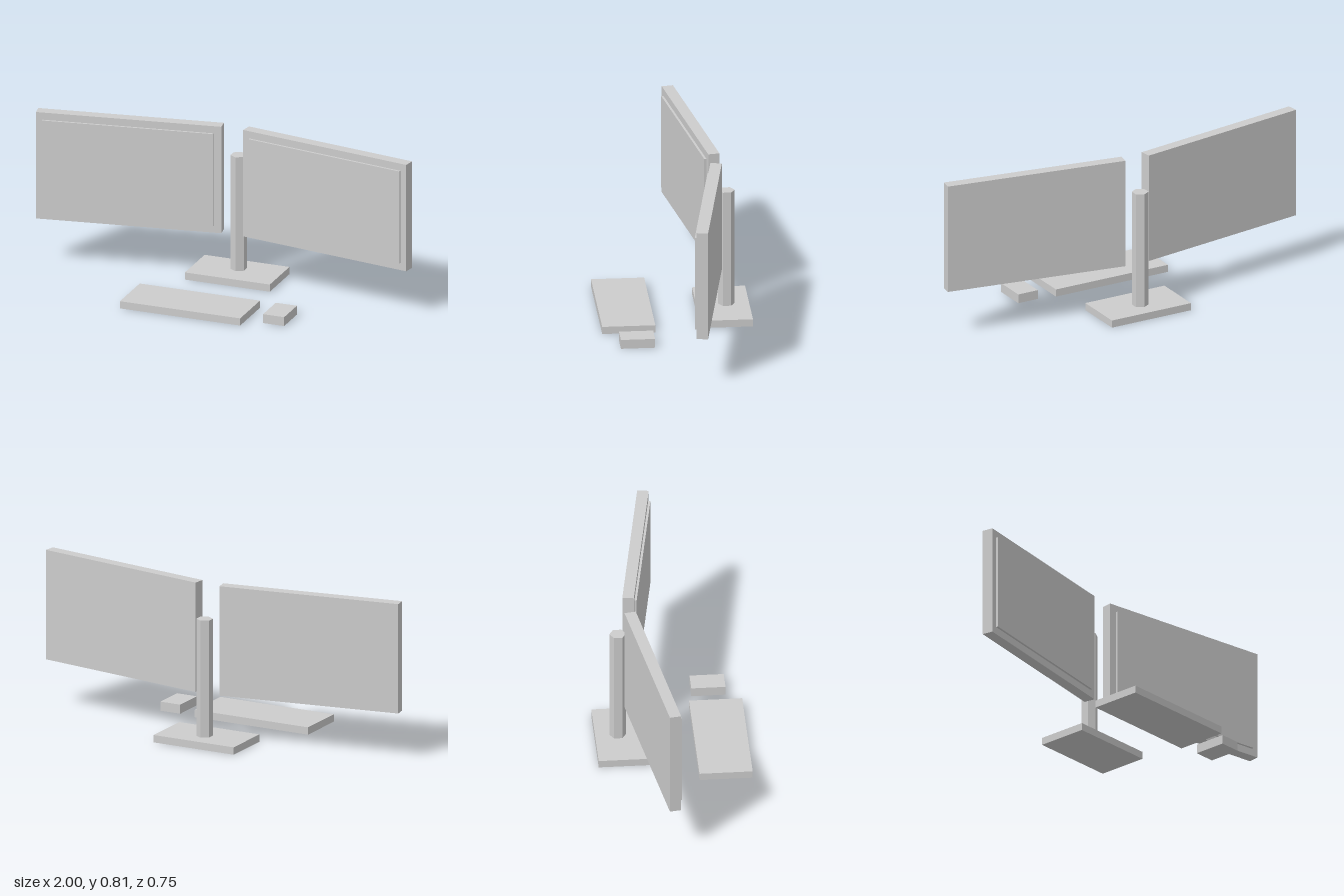
import * as THREE from 'three';

export function createModel() {
  const model = new THREE.Group();
  model.name = 'dualMonitorDesk';

  const grey = new THREE.MeshStandardMaterial({ color: 0xcccccc, flatShading: true });
  grey.name = 'lightGrey';

  function add(name, geometry, x, y, z, parent = model) {
    const mesh = new THREE.Mesh(geometry, grey);
    mesh.name = name;
    mesh.position.set(x, y, z);
    parent.add(mesh);
    return mesh;
  }
  const box = (w, h, d) => new THREE.BoxGeometry(w, h, d);

  // Two monitors, turned inward towards the user
  for (const [name, side] of [['leftMonitor', 1], ['rightMonitor', -1]]) {
    const monitor = new THREE.Group();
    monitor.name = name;
    monitor.position.set(0.529 * side, 0.53, -0.132);
    monitor.rotation.y = -0.16 * side;
    add('casing', box(0.944, 0.566, 0.0575), 0, 0, 0, monitor);
    // Raised screen panel, sunk slightly into the casing
    add('screen', box(0.873, 0.49, 0.02), 0.002 * side, 0, 0.03, monitor);
    model.add(monitor);
  }

  // Stand: flat foot and six-sided pole
  add('standBase', box(0.454, 0.038, 0.264), 0, 0.019, -0.245);
  add('standPole', new THREE.CylinderGeometry(0.0415, 0.0415, 0.605, 6), 0, 0.3405, -0.264);

  // Keyboard and mouse
  add('keyboard', box(0.643, 0.038, 0.265), -0.057, 0.019, 0.2455);
  add('mouse', box(0.113, 0.047, 0.171), 0.4135, 0.0235, 0.2175);

  return model;
}
